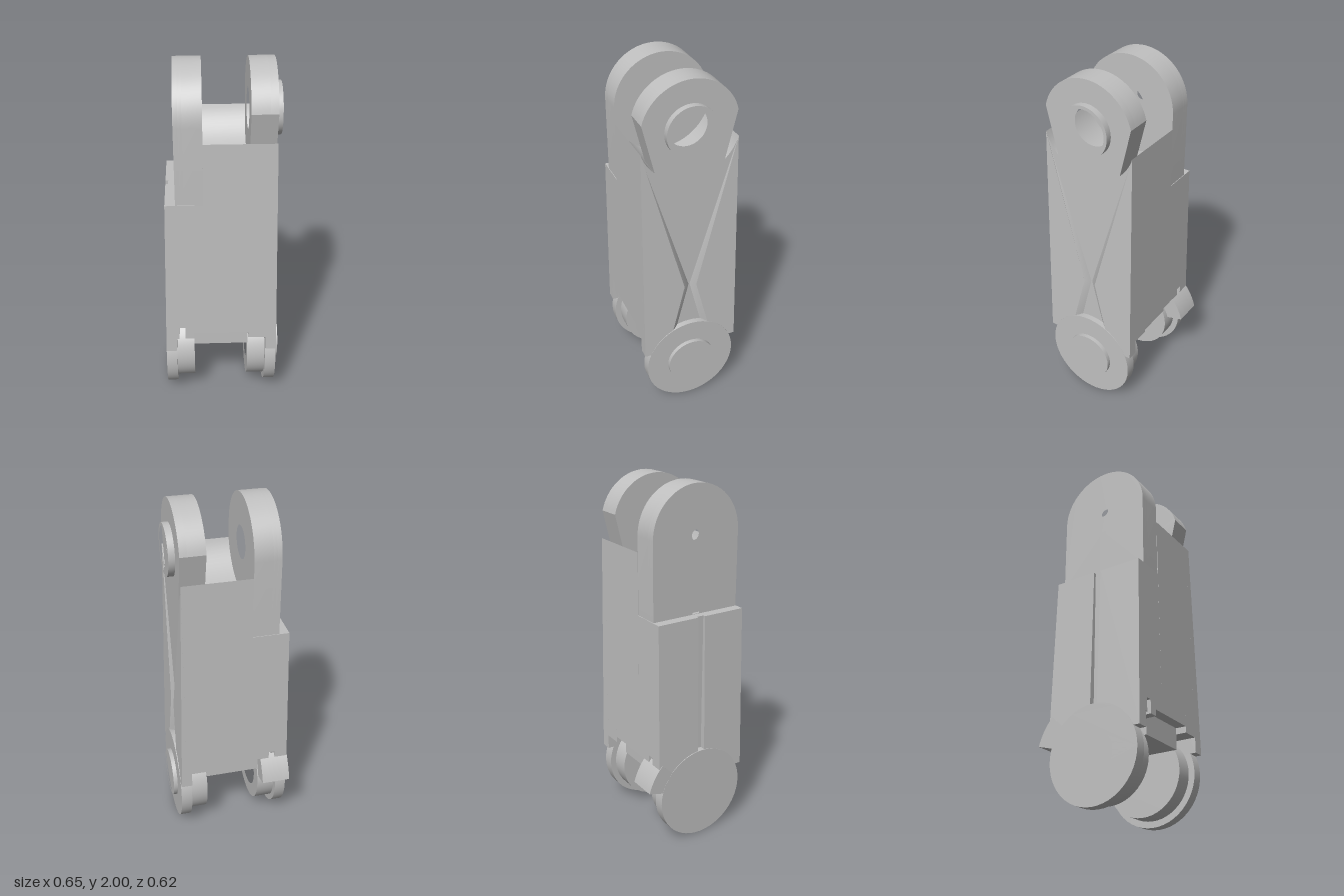
import * as THREE from 'three';
import { toCreasedNormals } from 'three/addons/utils/BufferGeometryUtils.js';

const CZ = 0.035;      // z of both pin axes
const TOP = 1.735;     // height of the upper pin
const LOW = 0.265;     // height of the lower pin

export function createModel() {
  const group = new THREE.Group();
  const grey = new THREE.MeshStandardMaterial({ color: 0xc0c0c0 });
  grey.name = 'grey';

  // Points are [z offset from the pin axis, y]; local shape x is -z
  const outline = (pts) => pts.map(([u, y]) => new THREE.Vector2(-u, y));
  const arc = (cy, r, a0, a1, n = 32) => Array.from({ length: n + 1 }, (_, i) => {
    const a = a0 + ((a1 - a0) * i) / n;
    return [r * Math.cos(a), cy + r * Math.sin(a)];
  });
  const circle = (cy, r) => arc(cy, r, 0, Math.PI * 2, 48).slice(0, -1);

  // Extrude a side profile from x0 to x1, optionally moving its vertices
  function slab(name, x0, x1, pts, holes = [], move = null) {
    const shape = new THREE.Shape(outline(pts));
    shape.holes = holes.map((h) => new THREE.Path(outline(h)));
    let geo = new THREE.ExtrudeGeometry(shape, { depth: x1 - x0, bevelEnabled: false });
    geo.rotateY(Math.PI / 2).translate(x0, 0, CZ);
    if (move) {
      const p = geo.attributes.position;
      for (let i = 0; i < p.count; i++) {
        const [x, z] = move(p.getX(i), p.getY(i), p.getZ(i));
        p.setX(i, x);
        p.setZ(i, z);
      }
    }
    geo = toCreasedNormals(geo, 0.5);
    const mesh = new THREE.Mesh(geo, grey);
    mesh.name = name;
    group.add(mesh);
  }

  // Body half depth shrinks slightly upwards
  const half = (y) => 0.2775 - (0.0125 * (y - 0.37)) / 1.28;
  const block = (y0, y1) => [[half(y0), y0], [half(y1), y1], [-half(y1), y1], [-half(y0), y0]];
  const saddle = arc(TOP, 0.279, -0.31, -Math.PI + 0.31);
  const saddleBlock = (y0) => [[half(y0), y0], ...saddle, [-half(y0), y0]];

  // Stepped outer cover with a central slot, leaning inwards
  const lean = (x, y, z) => [x < -0.3 ? -0.325 + (0.02 * (y - 0.37)) / 0.94 : x, z];
  for (const s of [1, -1]) {
    const pts = [[s * 0.021, 0.37], [s * half(0.37), 0.37], [s * half(1.31), 1.31], [s * 0.021, 1.31]];
    slab('slottedCover', -0.325, -0.29, pts, [], lean);
  }
  slab('coverBase', -0.29, -0.265, block(0.37, 1.31));
  slab('coverBase', -0.265, -0.25, block(0.455, 1.31));

  // Main body, with clearance cuts above the lower lugs
  slab('bodySide', -0.25, -0.215, block(0.53, 1.31));
  slab('bodySide', -0.215, -0.165, block(0.455, 1.31));
  const notch = 0.217;
  const core = (top) => [
    [notch, 0.37], [notch, 0.49], [half(0.49), 0.49], ...top,
    [-half(0.49), 0.49], [-notch, 0.49], [-notch, 0.37],
  ];
  slab('bodyCore', -0.165, -0.105, core([[half(1.31), 1.31], [-half(1.31), 1.31]]));
  slab('bodyCore', -0.105, 0.14, core(saddle));
  slab('bodySide', 0.14, 0.24, saddleBlock(0.455));
  slab('bodySide', 0.24, 0.27, saddleBlock(0.37));

  // Raised side panels whose sloping edges make the crossed braces
  for (const s of [1, -1]) {
    const pts = [[s * 0.265, 1.65], [0, 0.79], [s * 0.105, 0.37], [s * 0.2775, 0.37]];
    slab('bracePanel', 0.268, 0.3, pts, [], (x, y, z) => {
      if (x < 0.28) return [x, z];
      const inner = Math.abs(z - CZ) < 0.2;
      return [0.301 - (0.03 * (y - 0.37)) / 1.28, z + (inner ? s * 0.035 : 0)];
    });
  }

  // Upper ear on the stepped side: slotted outside, blind bore inside
  const ear = [[0.265, 1.31], ...arc(TOP, 0.265, 0, Math.PI), [-0.265, 1.31]];
  const slot = [[0.021, 1.312], [0.021, 1.58], [0.012, 1.6], [-0.012, 1.6], [-0.021, 1.58], [-0.021, 1.312]];
  slab('slottedEar', -0.25, -0.225, ear, [circle(TOP, 0.03), slot]);
  slab('earWeb', -0.225, -0.205, ear, [circle(TOP, 0.03)]);
  slab('earBore', -0.205, -0.105, ear, [circle(TOP, 0.09)]);

  // Upper ear on the braced side, narrowing into the body
  const narrowEar = [[0.165, 1.42], ...arc(TOP, 0.265, 0.25, Math.PI - 0.25), [-0.165, 1.42]];
  slab('bracedEar', 0.135, 0.23, narrowEar, [circle(TOP, 0.108)]);
  slab('bracedEar', 0.23, 0.27, narrowEar, [circle(TOP, 0.12)]);
  slab('upperBoss', 0.27, 0.305, circle(TOP, 0.14), [circle(TOP, 0.122)]);

  // Lower lugs: wide outer disc, smaller inner disc
  slab('lugOuter', -0.326, -0.265, circle(LOW, 0.265), [circle(LOW, 0.12)]);
  slab('lugInner', -0.265, -0.165, circle(LOW, 0.23), [circle(LOW, 0.15)]);
  slab('lugOuter', 0.24, 0.302, circle(LOW, 0.265), [circle(LOW, 0.122)]);
  slab('lugInner', 0.14, 0.24, circle(LOW, 0.23), [circle(LOW, 0.13)]);
  slab('lowerBoss', 0.302, 0.325, circle(LOW, 0.14), [circle(LOW, 0.122)]);

  // Rear hook: curved outer wall on two cheeks
  const sector = (r0, r1) => {
    const a0 = Math.PI - 0.75, a1 = Math.PI - 0.27;
    return [...arc(LOW, r1, a0, a1, 10), ...arc(LOW, r0, a1, a0, 10)];
  };
  slab('hookCheek', -0.325, -0.285, sector(0.255, 0.355));
  slab('hookCheek', -0.185, -0.165, sector(0.255, 0.355));
  slab('hookWall', -0.285, -0.185, sector(0.32, 0.355));

  return group;
}
